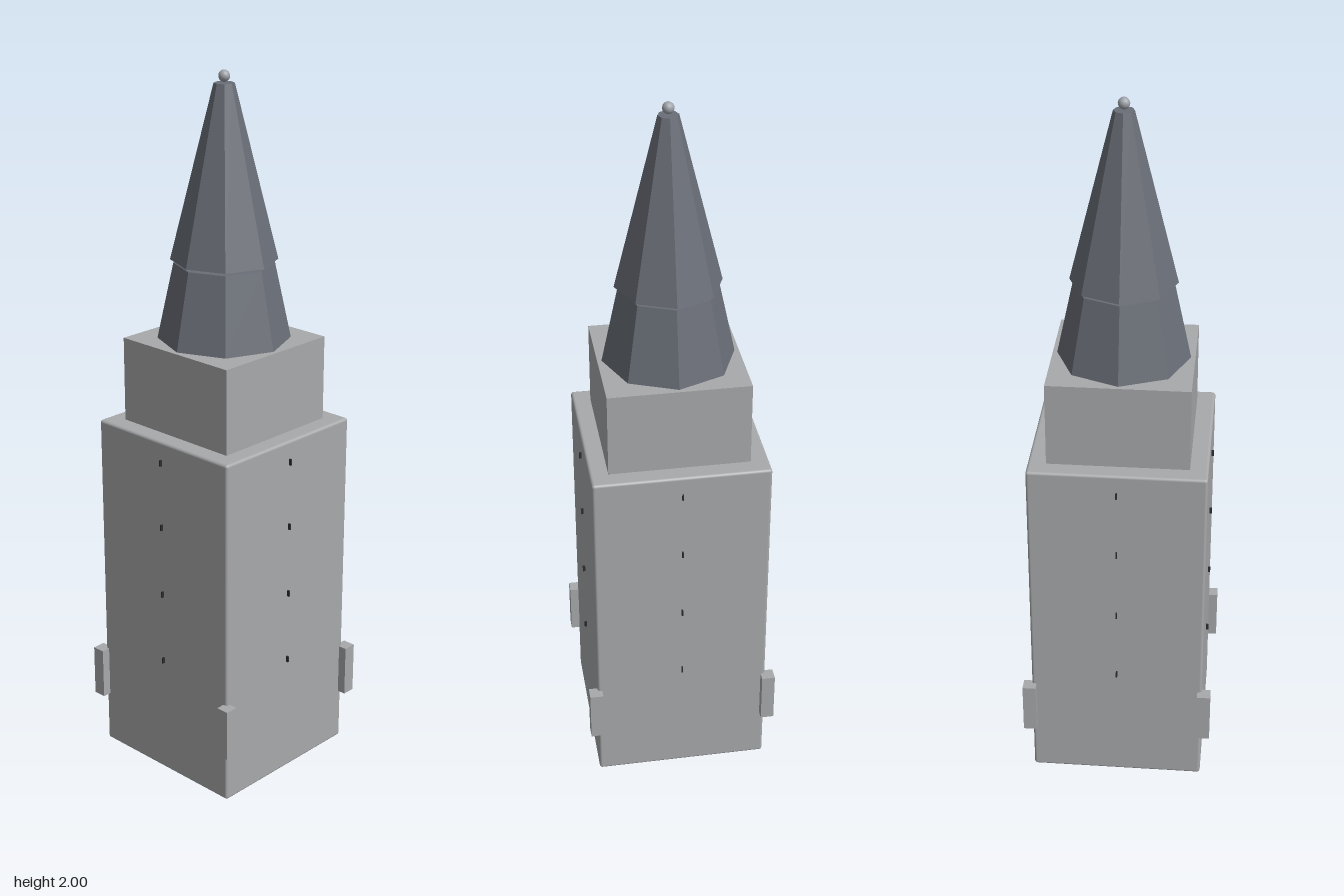
import * as THREE from 'three';
import { RoundedBoxGeometry } from 'three/addons/geometries/RoundedBoxGeometry.js';

export function createModel() {
  const model = new THREE.Group();
  model.name = 'spireTower';

  const stone = new THREE.MeshStandardMaterial({ color: 0xa8a9ab });
  stone.name = 'stone';
  const slate = new THREE.MeshStandardMaterial({ color: 0x6a6e77, flatShading: true });
  slate.name = 'slate';
  const metal = new THREE.MeshStandardMaterial({ color: 0x9fa3a9 });
  metal.name = 'metal';
  const dark = new THREE.MeshStandardMaterial({ color: 0x2c2d31 });
  dark.name = 'darkOpening';

  function add(name, geometry, material, x, y, z, parent = model) {
    const mesh = new THREE.Mesh(geometry, material);
    mesh.name = name;
    mesh.position.set(x, y, z);
    parent.add(mesh);
    return mesh;
  }

  // Main shaft with softened edges, and the narrower belfry block on top
  add('shaft', new RoundedBoxGeometry(0.494, 1.026, 0.494, 3, 0.008), stone, 0, 0.513, 0);
  add('belfry', new THREE.BoxGeometry(0.392, 0.243, 0.392), stone, 0, 1.1455, 0);

  // Small blocks at the four lower corners
  const block = new THREE.BoxGeometry(0.038, 0.15, 0.038);
  for (const x of [-1, 1]) {
    for (const z of [-1, 1]) add('cornerBlock', block, stone, x * 0.253, 0.23, z * 0.253);
  }

  // A column of narrow slit windows on each side
  const slit = new THREE.BoxGeometry(0.004, 0.018, 0.009);
  for (let side = 0; side < 4; side++) {
    const column = new THREE.Group();
    column.name = 'slitWindows';
    column.rotation.y = side * Math.PI / 2;
    for (const y of [0.357, 0.566, 0.772, 0.965]) add('slitWindow', slit, dark, 0, y, 0.2495, column);
    model.add(column);
  }

  // Two-stage eight-sided spire with a thin gap between the stages
  function spireStage(name, bottomRadius, topRadius, bottom, top) {
    const geometry = new THREE.CylinderGeometry(topRadius, bottomRadius, top - bottom, 8);
    add(name, geometry, slate, 0, (bottom + top) / 2, 0);
  }
  spireStage('lowerSpire', 0.184, 0.138, 1.267, 1.481);
  spireStage('upperSpire', 0.147, 0.028, 1.49, 1.966);

  // Ball finial
  add('finial', new THREE.SphereGeometry(0.016, 12, 10), metal, 0, 1.984, 0);

  return model;
}
